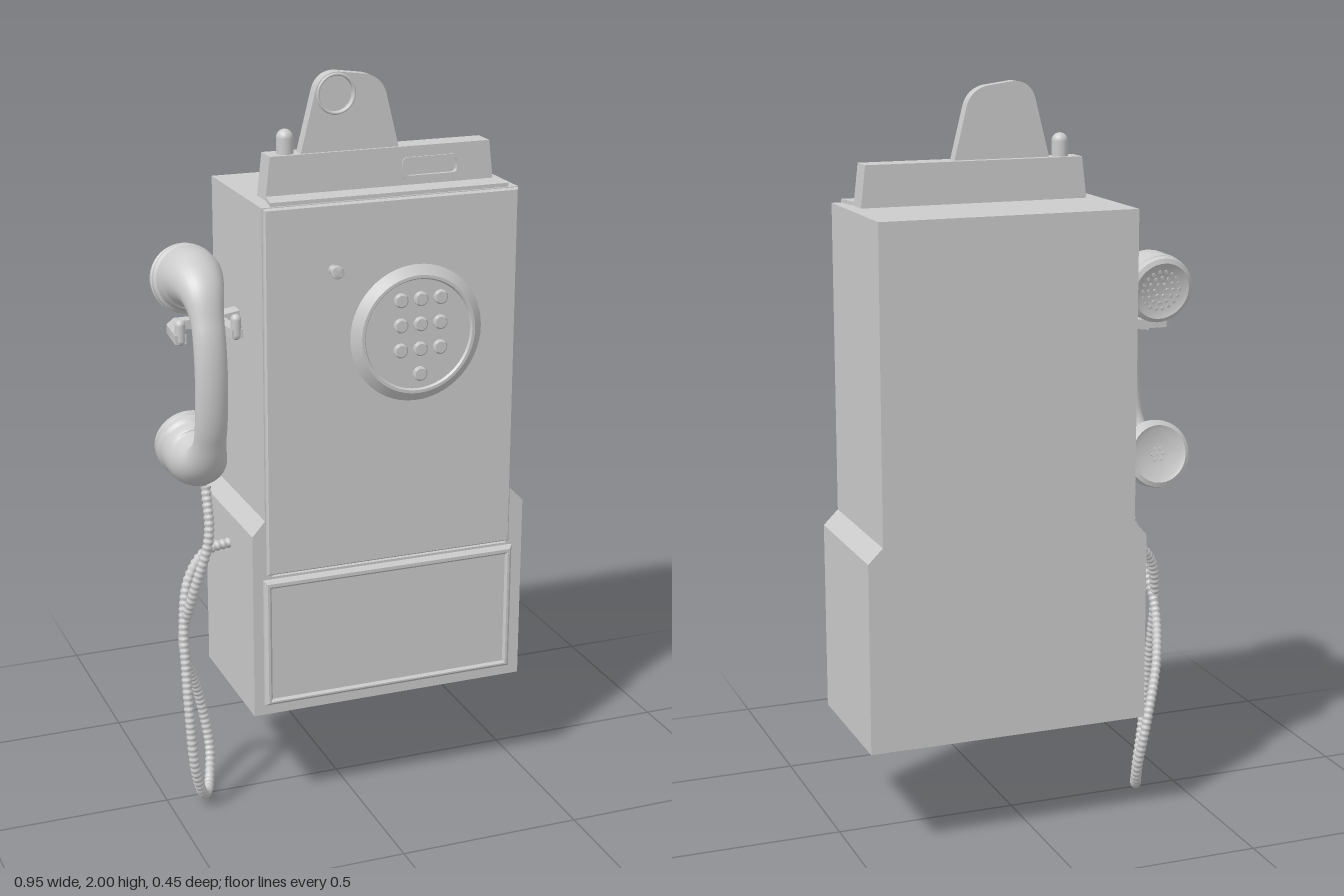
import * as THREE from 'three';
import { mergeVertices, toCreasedNormals } from 'three/addons/utils/BufferGeometryUtils.js';

const material = new THREE.MeshStandardMaterial({ color: 0xcccccc, side: THREE.DoubleSide });

function add(parent, name, geometry, x = 0, y = 0, z = 0) {
  const mesh = new THREE.Mesh(geometry, material);
  mesh.name = name;
  mesh.position.set(x, y, z);
  parent.add(mesh);
  return mesh;
}

const poly = (points) => new THREE.Shape(points.map(([x, y]) => new THREE.Vector2(x, y)));
const rect = (x0, y0, x1, y1) => poly([[x0, y0], [x1, y0], [x1, y1], [x0, y1]]);

function roundRect(x0, y0, x1, y1, r) {
  const s = new THREE.Shape();
  s.absarc(x1 - r, y0 + r, r, -Math.PI / 2, 0);
  s.absarc(x1 - r, y1 - r, r, 0, Math.PI / 2);
  s.absarc(x0 + r, y1 - r, r, Math.PI / 2, Math.PI);
  s.absarc(x0 + r, y0 + r, r, Math.PI, Math.PI * 1.5);
  s.closePath();
  return s;
}

// Extrusion along +z, with optional holes and an inward bevel
function slab(shape, depth, holes = [], bevel = 0) {
  shape.holes = holes;
  return toCreasedNormals(new THREE.ExtrudeGeometry(shape, {
    depth: depth - bevel, curveSegments: 10, bevelEnabled: bevel > 0, bevelSegments: 1,
    bevelSize: bevel, bevelThickness: bevel, bevelOffset: -bevel,
  }), 0.6);
}

// Turned part whose axis points along +z
function turned(points, segments = 40) {
  const g = new THREE.LatheGeometry(points.map(([r, h]) => new THREE.Vector2(r, h)), segments);
  return toCreasedNormals(g.rotateX(Math.PI / 2), 0.6);
}

// Tube whose rings are scaled across (x) and in depth (y, z)
function shapedTube(curve, rings, sides, size) {
  const g = new THREE.TubeGeometry(curve, rings, 1, sides);
  const p = g.attributes.position;
  for (let i = 0; i < p.count; i++) {
    const t = Math.floor(i / (sides + 1)) / rings;
    const c = curve.getPointAt(t);
    const [w, d] = size(t);
    p.setXYZ(i, c.x + (p.getX(i) - c.x) * w, c.y + (p.getY(i) - c.y) * d, c.z + (p.getZ(i) - c.z) * d);
  }
  g.deleteAttribute('uv');
  g.deleteAttribute('normal');
  const merged = mergeVertices(g, 1e-5);
  merged.computeVertexNormals();
  return merged;
}

const spline = (points) => new THREE.CatmullRomCurve3(points.map((p) => new THREE.Vector3(...p)));

function buildCabinet(root) {
  const cabinet = new THREE.Group();
  cabinet.name = 'cabinet';
  root.add(cabinet);
  add(cabinet, 'housing', slab(poly([[-0.3, 0.305], [0.475, 0.305], [0.475, 0.82], [0.435, 0.86],
    [0.435, 1.69], [-0.265, 1.69], [-0.265, 0.86], [-0.3, 0.82]]), 0.4), 0, 0, -0.225);

  // Upper door with a coin return opening and a narrow raised border
  add(cabinet, 'upperDoor', slab(rect(-0.255, 0.715, 0.425, 1.685), 0.008,
    [roundRect(0, 0.73, 0.17, 0.86, 0.025)]), 0, 0, 0.175);
  add(cabinet, 'doorBorder', slab(rect(-0.262, 0.71, 0.432, 1.688), 0.012,
    [rect(-0.247, 0.711, 0.418, 1.675)], 0.004), 0, 0, 0.175);
  add(cabinet, 'coinReturnRim', slab(roundRect(-0.003, 0.727, 0.173, 0.863, 0.027), 0.01,
    [roundRect(0.005, 0.735, 0.165, 0.855, 0.022)]), 0, 0, 0.175);

  // Lower cash box door: bevelled frame around a flat plate
  add(cabinet, 'cashDoorFrame', slab(rect(-0.272, 0.335, 0.442, 0.695), 0.016,
    [rect(-0.25, 0.355, 0.42, 0.67)], 0.008), 0, 0, 0.175);
  add(cabinet, 'cashDoor', slab(rect(-0.255, 0.35, 0.425, 0.675), 0.01), 0, 0, 0.175);
}

function buildTop(root) {
  const top = new THREE.Group();
  top.name = 'coinHead';
  root.add(top);
  const ledge = slab(poly([[-0.215, -0.035], [-0.24, -0.17], [0.41, -0.17], [0.385, -0.035]]), 0.01);
  add(top, 'ledge', ledge.rotateX(-Math.PI / 2), 0, 1.69, 0);

  // Block with a recessed slot
  const outline = () => poly([[-0.228, 1.69], [0.398, 1.69], [0.385, 1.8], [-0.215, 1.8]]);
  add(top, 'blockBack', slab(outline(), 0.05), 0, 0, 0.035);
  add(top, 'blockFront', slab(outline(), 0.015, [roundRect(0.15, 1.722, 0.295, 1.764, 0.01)]), 0, 0, 0.085);
  add(top, 'slotRim', slab(roundRect(0.142, 1.714, 0.303, 1.772, 0.014), 0.005,
    [roundRect(0.152, 1.724, 0.293, 1.762, 0.009)]), 0, 0, 0.099);

  // Upright tab with a ringed round recess
  const tab = () => {
    const s = new THREE.Shape();
    s.moveTo(-0.13, 1.8);
    s.lineTo(0.135, 1.8);
    s.lineTo(0.1, 1.94);
    s.quadraticCurveTo(0.088, 1.98, 0.045, 1.99);
    s.lineTo(-0.03, 2);
    s.quadraticCurveTo(-0.08, 2, -0.092, 1.95);
    s.closePath();
    return s;
  };
  const hole = new THREE.Path().absarc(-0.035, 1.945, 0.046, 0, Math.PI * 2);
  add(top, 'tabBack', slab(tab(), 0.022), 0, 0, 0.058);
  add(top, 'tabFront', slab(tab(), 0.012, [hole]), 0, 0, 0.08);
  add(top, 'tabRing', new THREE.TorusGeometry(0.049, 0.004, 8, 36), -0.035, 1.945, 0.092);
  add(top, 'button', new THREE.CapsuleGeometry(0.022, 0.05, 6, 18), -0.165, 1.815, 0.07);
}

function buildControls(root) {
  const dial = new THREE.Group();
  dial.name = 'keypad';
  dial.position.set(0.15, 1.33, 0.175);
  root.add(dial);
  add(dial, 'keypadPlate', turned([[0.183, 0], [0.183, 0.012], [0.158, 0.031], [0.15, 0.031],
    [0.146, 0.025], [0, 0.025]], 56));
  const key = turned([[0.019, 0], [0.019, 0.011], [0.015, 0.014], [0, 0.014]], 18);
  for (let i = 0; i < 10; i++) {
    const column = i === 9 ? 1 : i % 3;
    add(dial, 'key', key, (column - 1) * 0.055 + 0.005, 0.095 - Math.floor(i / 3) * 0.067, 0.022);
  }
  add(root, 'knob', turned([[0.016, 0], [0.016, 0.01], [0.01, 0.014], [0.01, 0.032], [0.017, 0.04],
    [0.017, 0.048], [0.012, 0.05], [0, 0.05]], 20), -0.08, 1.52, 0.175);
}

function buildHandset(root) {
  const handset = new THREE.Group();
  handset.name = 'handset';
  handset.position.set(-0.385, 1.23, 0);
  root.add(handset);

  // Curved grip that swells into both heads
  const half = [[0, 0.232, -0.07], [0, 0.243, -0.015], [0, 0.222, 0.055], [0, 0.15, 0.1]];
  const path = spline([...half, [0, 0, 0.12], ...half.map(([x, y, z]) => [x, -y, z]).reverse()]);
  add(handset, 'grip', shapedTube(path, 80, 28, (t) => {
    const e = Math.min(1, Math.abs(t - 0.5) * 2);
    const swell = THREE.MathUtils.smoothstep(e, 0.4, 1);
    return [0.043 + 0.042 * swell, 0.031 + 0.054 * swell];
  }));

  const cup = turned([[0, 0], [0.082, 0], [0.091, 0.012], [0.091, 0.026], [0.086, 0.03], [0.092, 0.036],
    [0.09, 0.05], [0.078, 0.056], [0.066, 0.05], [0, 0.046]]);
  const dot = new THREE.CylinderGeometry(0.005, 0.005, 0.005, 8).rotateX(Math.PI / 2);
  for (const s of [1, -1]) {
    const head = new THREE.Group();
    head.name = s > 0 ? 'earpiece' : 'mouthpiece';
    head.position.set(0, s * 0.233, -0.06);
    head.rotation.set(Math.PI - s * 0.2, 0, 0);
    handset.add(head);
    add(head, 'cup', cup);
    // Speaker grille in rings
    for (const [r, n] of s > 0 ? [[0.018, 6], [0.036, 12], [0.053, 18]] : [[0, 1], [0.017, 6]]) {
      for (let i = 0; i < n; i++) {
        const a = (i / n) * Math.PI * 2;
        add(head, 'grilleDot', dot, r * Math.cos(a), r * Math.sin(a), 0.049);
      }
    }
  }

  // Forked cradle with upturned tips, carried by an arm from the housing
  const cradle = new THREE.Group();
  cradle.name = 'cradle';
  root.add(cradle);
  const fork = slab(poly([[-0.43, 0.05], [-0.34, 0.05], [-0.305, 0], [-0.295, -0.11], [-0.325, -0.11],
    [-0.333, -0.03], [-0.355, 0.015], [-0.415, 0.015], [-0.437, -0.03], [-0.445, -0.11],
    [-0.475, -0.11], [-0.465, 0]]), 0.024);
  add(cradle, 'fork', fork.rotateX(-Math.PI / 2), 0, 1.342, 0);
  for (const s of [1, -1]) {
    add(cradle, 'forkTip', new THREE.CapsuleGeometry(0.014, 0.04, 4, 12), -0.385 + s * 0.074, 1.37, 0.1);
  }
  const arm = add(cradle, 'arm', new THREE.BoxGeometry(0.13, 0.026, 0.045), -0.315, 1.36, -0.028);
  arm.rotation.z = 0.15;
}

function buildCord(root) {
  // Looping cord with fine ribs
  const path = spline([[-0.385, 0.93, 0.05], [-0.39, 0.8, 0.085], [-0.43, 0.65, 0.075], [-0.448, 0.52, 0.03],
    [-0.42, 0.4, -0.045], [-0.37, 0.25, -0.1], [-0.348, 0.1, -0.085], [-0.362, 0.035, -0.045],
    [-0.385, 0.016, 0.01], [-0.42, 0.05, 0.075], [-0.448, 0.14, 0.107], [-0.458, 0.28, 0.1],
    [-0.458, 0.42, 0.075], [-0.455, 0.54, 0.05], [-0.43, 0.66, 0.02], [-0.37, 0.722, -0.01],
    [-0.29, 0.735, -0.02]]);
  const rings = 480;
  add(root, 'cord', shapedTube(path, rings, 10, (t) => {
    const r = Math.round(t * rings) % 4 < 2 ? 0.0145 : 0.012;
    return [r, r];
  }));
}

export function createModel() {
  const root = new THREE.Group();
  root.name = 'wallPayphone';
  buildCabinet(root);
  buildTop(root);
  buildControls(root);
  buildHandset(root);
  buildCord(root);
  return root;
}
